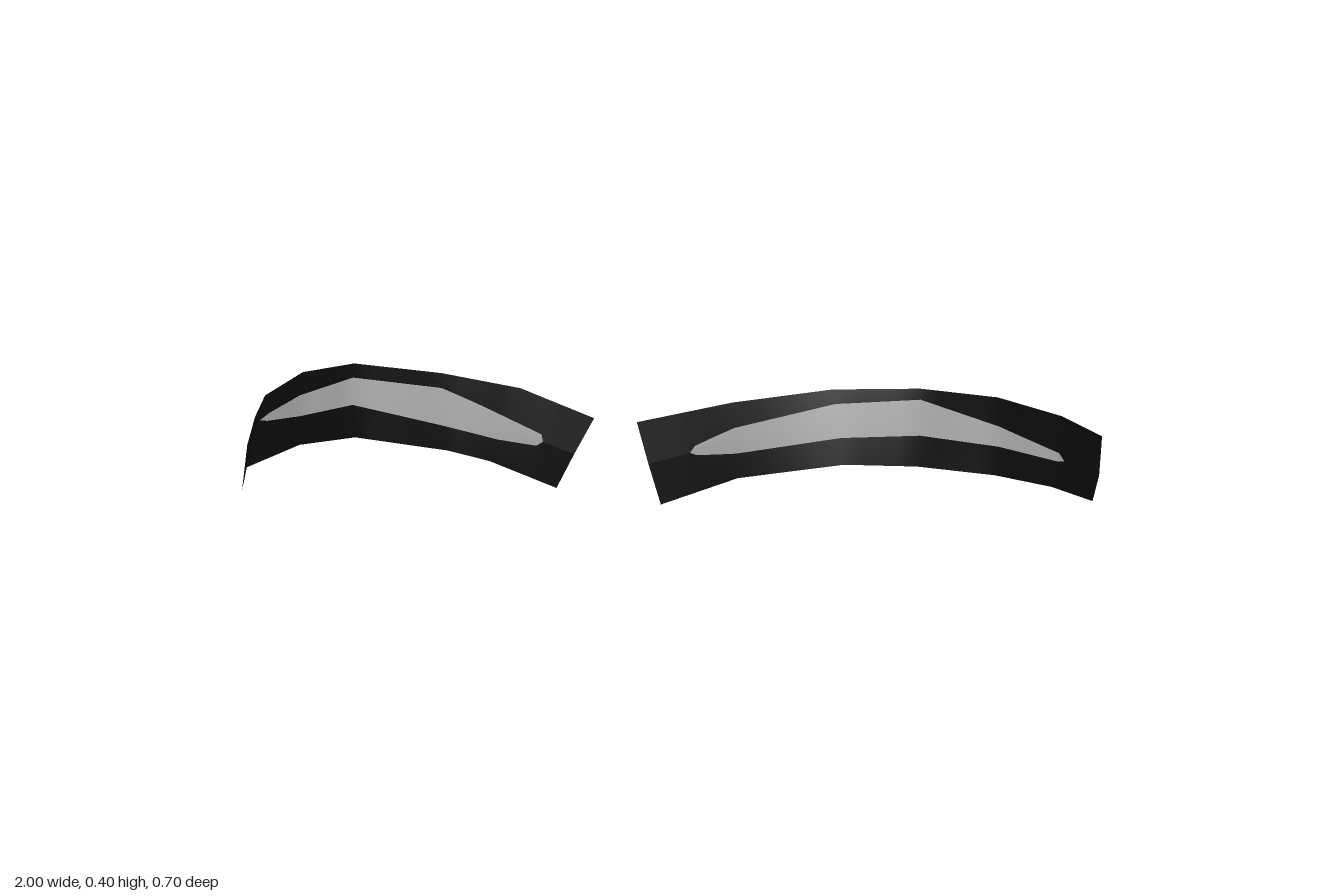
import * as THREE from 'three';

const black = new THREE.MeshStandardMaterial({ color: 0x0b0b0b, side: THREE.DoubleSide });
black.name = 'black card';
const grey = new THREE.MeshStandardMaterial({ color: 0xa6a6a6, side: THREE.DoubleSide });
grey.name = 'grey hair';

// Edges run from the inner end to the outer end as [x, y, z].
// The stripe lists [u, low, high]: column position and fractions of the card height.
const leftBrow = {
  top: [[0.056, 0.322, 0.335], [0.275, 0.374, 0.31], [0.49, 0.396, 0.217], [0.676, 0.388, 0.126],
    [0.826, 0.345, -0.014], [0.933, 0.268, -0.194], [0.992, 0.19, -0.35]],
  bottom: [[0.115, 0.133, 0.344], [0.29, 0.198, 0.315], [0.527, 0.229, 0.256], [0.68, 0.215, 0.174],
    [0.837, 0.178, 0.06], [0.94, 0.128, -0.07], [1, 0.065, -0.222]],
  stripe: [[0.48, 0.5, 0.5], [0.55, 0.45, 0.57], [1, 0.33, 0.67], [2, 0.36, 0.81], [3, 0.4, 0.86],
    [4, 0.37, 0.63], [5, 0.36, 0.48], [5.15, 0.4, 0.4]],
};
const rightBrow = {
  top: [[-0.045, 0.326, 0.334], [-0.222, 0.385, 0.322], [-0.42, 0.401, 0.278], [-0.644, 0.396, 0.203],
    [-0.794, 0.342, 0.083], [-0.928, 0.24, -0.104], [-0.992, 0.15, -0.272]],
  bottom: [[-0.131, 0.16, 0.347], [-0.29, 0.214, 0.342], [-0.393, 0.23, 0.325], [-0.628, 0.235, 0.26],
    [-0.783, 0.188, 0.16], [-0.938, 0.1, 0.034], [-0.992, 0.003, -0.143]],
  stripe: [[0.44, 0.49, 0.49], [0.5, 0.41, 0.57], [1, 0.3, 0.6], [2, 0.32, 0.81], [3, 0.44, 0.81],
    [4, 0.39, 0.68], [4.7, 0.55, 0.66], [4.9, 0.62, 0.62]],
};

const mix = (a, b, t) => a + (b - a) * t;

// Point on a straight-sided edge at column position u
function edgePoint(edge, u) {
  const i = Math.min(Math.floor(u), edge.length - 2);
  return new THREE.Vector3(...edge[i]).lerp(new THREE.Vector3(...edge[i + 1]), u - i);
}

// Lower and upper stripe limits at u; they coincide beyond the stripe ends
function stripeLimits(stripe, u) {
  if (u <= stripe[0][0]) return [stripe[0][1], stripe[0][2]];
  for (let i = 1; i < stripe.length; i++) {
    const a = stripe[i - 1], b = stripe[i];
    if (u <= b[0]) {
      const t = (u - a[0]) / (b[0] - a[0]);
      return [mix(a[1], b[1], t), mix(a[2], b[2], t)];
    }
  }
  const end = stripe[stripe.length - 1];
  return [end[1], end[2]];
}

// Curved card in three bands: black below, grey stripe, black above
function makeBrow({ top, bottom, stripe }, name, flip) {
  const us = new Set(stripe.map((s) => s[0]));
  for (let i = 0; i <= (top.length - 1) * 4; i++) us.add(i / 4);
  const columns = [...us].sort((a, b) => a - b);

  const positions = [];
  for (const u of columns) {
    const low = edgePoint(bottom, u), high = edgePoint(top, u);
    for (const v of [0, ...stripeLimits(stripe, u), 1]) {
      const p = low.clone().lerp(high, v);
      const bulge = 0.007 * 4 * v * (1 - v);
      positions.push(p.x + bulge * p.x, p.y, p.z + bulge * (1 - Math.abs(p.x)));
    }
  }

  const geometry = new THREE.BufferGeometry();
  const index = [];
  for (let band = 0; band < 3; band++) {
    const start = index.length;
    for (let c = 0; c < columns.length - 1; c++) {
      const a = c * 4 + band, b = a + 4;
      if (flip) index.push(a, b + 1, b, a, a + 1, b + 1);
      else index.push(a, b, b + 1, a, b + 1, a + 1);
    }
    geometry.addGroup(start, index.length - start, band === 1 ? 1 : 0);
  }
  geometry.setAttribute('position', new THREE.Float32BufferAttribute(positions, 3));
  geometry.setIndex(index);
  geometry.computeVertexNormals();

  const mesh = new THREE.Mesh(geometry, [black, grey]);
  mesh.name = name;
  return mesh;
}

export function createModel() {
  const group = new THREE.Group();
  group.name = 'eyebrows';
  group.add(makeBrow(leftBrow, 'leftEyebrow', false), makeBrow(rightBrow, 'rightEyebrow', true));
  return group;
}
